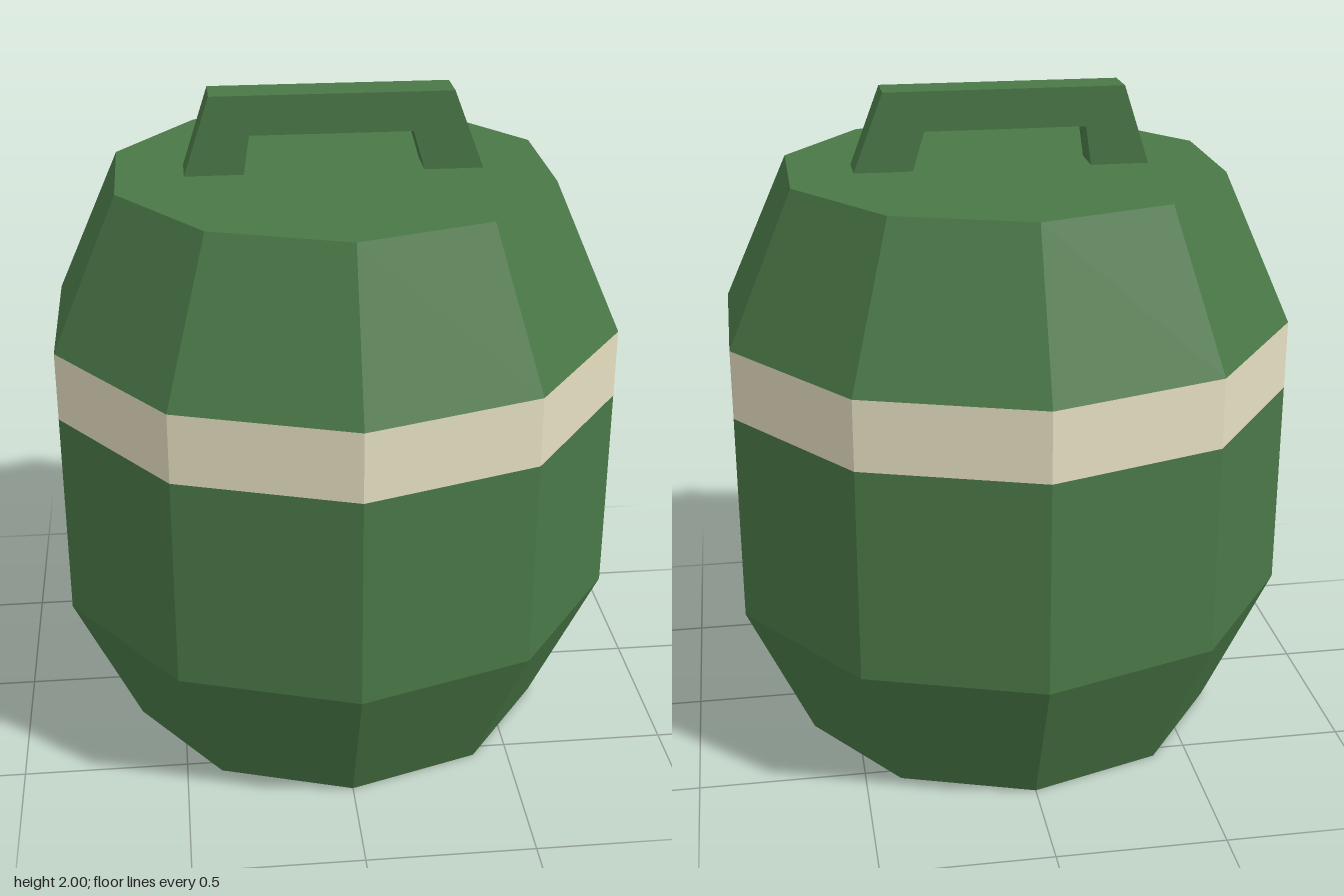
import * as THREE from 'three';

const SIDES = 10;
const WIDE = 0.877;   // radius of the straight belly
const NARROW = 0.67;  // radius of the lid and base
const TOP = 1.765;    // height of the lid

export function createModel() {
  const group = new THREE.Group();
  group.name = 'barrel';

  const green = new THREE.MeshStandardMaterial({ name: 'green', color: 0x4a7847, flatShading: true });
  const cream = new THREE.MeshStandardMaterial({ name: 'cream', color: 0xe5dfc1, flatShading: true });

  // Ten-sided ring from a bottom-to-top profile of [radius, height]
  const addRing = (name, profile, material) => {
    const points = profile.map(([r, y]) => new THREE.Vector2(r, y));
    const mesh = new THREE.Mesh(new THREE.LatheGeometry(points, SIDES), material);
    mesh.name = name;
    group.add(mesh);
  };

  // Base and belly, painted band, tapered shoulder with lid
  addRing('lowerBody', [[0, 0], [NARROW, 0], [WIDE, 0.455], [WIDE, 1.1]], green);
  addRing('band', [[WIDE, 1.1], [WIDE, 1.31]], cream);
  addRing('shoulderAndLid', [[WIDE, 1.31], [NARROW, TOP], [0, TOP]], green);

  // Carrying handle: a flat-topped arch with splayed legs
  const arch = new THREE.Shape([
    [-0.437, TOP], [-0.262, TOP], [-0.245, 1.882], [0.237, 1.882],
    [0.272, TOP], [0.447, TOP], [0.357, 2], [-0.36, 2],
  ].map(([x, y]) => new THREE.Vector2(x, y)));
  const depth = 0.12;
  const handleGeometry = new THREE.ExtrudeGeometry(arch, { depth, bevelEnabled: false });
  handleGeometry.translate(0, 0, -depth / 2);
  const handle = new THREE.Mesh(handleGeometry, green);
  handle.name = 'handle';
  group.add(handle);

  return group;
}
